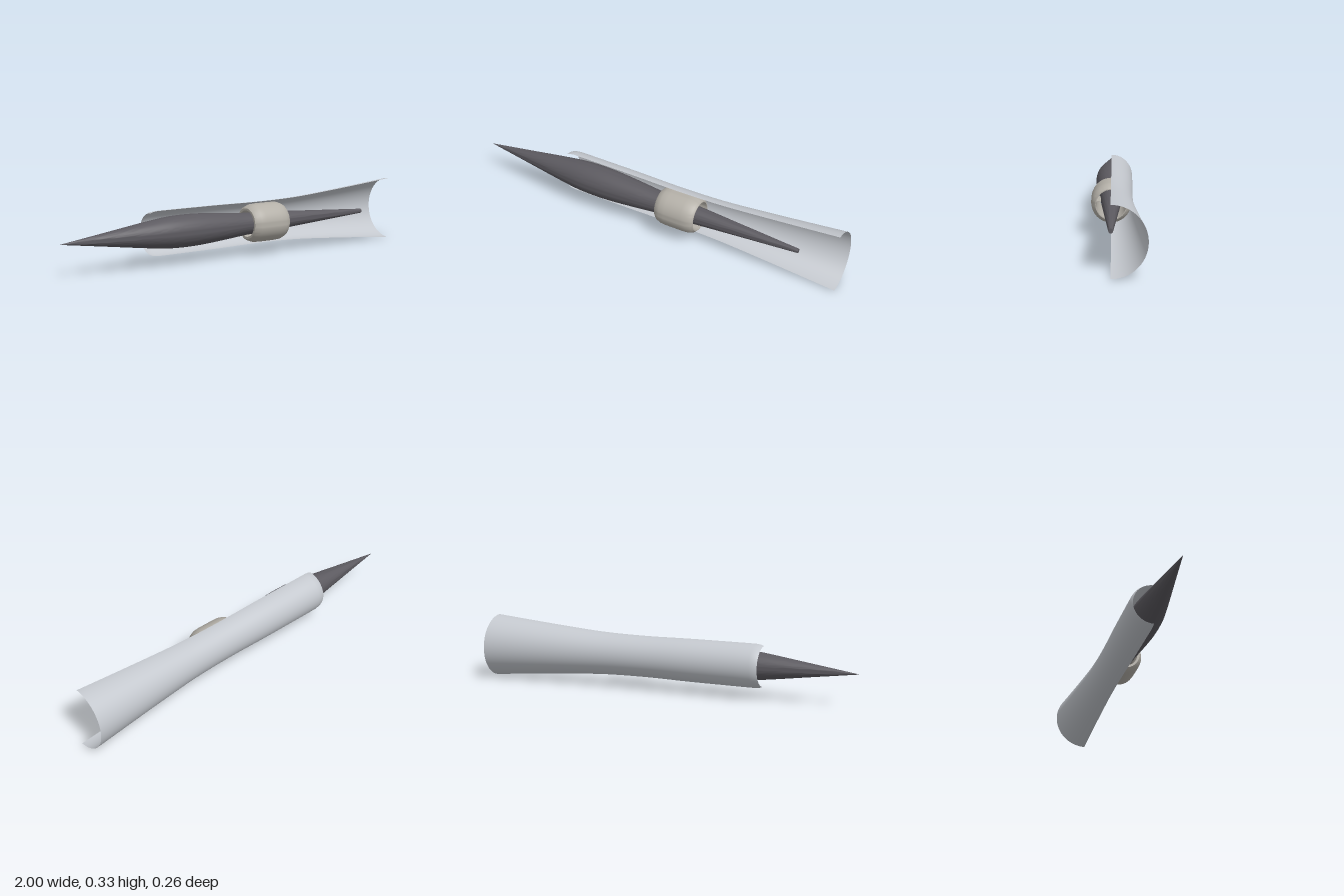
import * as THREE from 'three';
import { toCreasedNormals } from 'three/addons/utils/BufferGeometryUtils.js';

const mat = (color, side = THREE.FrontSide) => new THREE.MeshStandardMaterial({ color, side });

// Smooth curve through [x, radius] stations, as lathe points
const smooth = (stations, n) =>
  new THREE.CatmullRomCurve3(stations.map(([x, r]) => new THREE.Vector3(r, x, 0)))
    .getPoints(n).map((p) => new THREE.Vector2(Math.max(p.x, 0), p.y));

const straight = (stations) => stations.map(([x, r]) => new THREE.Vector2(r, x));

// Revolve a profile about the long x axis
function revolve(points, segments, start = 0, sweep = Math.PI * 2) {
  return new THREE.LatheGeometry(points, segments, start, sweep).rotateZ(-Math.PI / 2);
}

function add(parent, name, geometry, material) {
  const mesh = new THREE.Mesh(geometry, material);
  mesh.name = name;
  parent.add(mesh);
  return mesh;
}

export function createModel() {
  const model = new THREE.Group();
  model.name = 'plugNozzle';

  // Everything is coaxial with this line
  const axis = new THREE.Group();
  axis.name = 'coaxialAssembly';
  axis.position.set(0, 0.163, 0.032);
  model.add(axis);

  // Pointed centre body: cone, bulge, long tapering tail with a blunt end
  const spike = smooth([
    [-1, 0], [-0.76, 0.033], [-0.52, 0.066], [-0.42, 0.077], [-0.33, 0.08],
    [-0.24, 0.078], [-0.1, 0.068], [0.04, 0.056], [0.2, 0.049], [0.5, 0.03], [0.8, 0.011],
  ], 60);
  spike.push(new THREE.Vector2(0, 0.8));
  add(axis, 'centreSpike', toCreasedNormals(revolve(spike, 64), 0.6), mat(0x5c5a60));

  // Half shell behind the spike: turned-in lip, slim throat, flared outlet
  const shell = [
    ...straight([[-0.515, 0.101], [-0.5, 0.107], [-0.475, 0.11]]),
    ...smooth([
      [-0.4, 0.11], [-0.12, 0.109], [0.1, 0.106], [0.28, 0.108], [0.4, 0.113],
      [0.6, 0.128], [0.8, 0.145], [1, 0.163],
    ], 36),
  ];
  add(axis, 'halfShell', revolve(shell, 48, Math.PI / 2, Math.PI), mat(0xc4c8ce, THREE.DoubleSide));

  // Collar ring with rounded shoulders and a slightly tapered bore
  const collar = straight([
    [0.047, 0.067], [0.047, 0.078], [0.058, 0.088], [0.08, 0.096], [0.11, 0.098],
    [0.2, 0.098], [0.232, 0.096], [0.255, 0.087], [0.265, 0.077], [0.265, 0.073], [0.047, 0.067],
  ]);
  add(axis, 'collarRing', toCreasedNormals(revolve(collar, 64), 0.5), mat(0xb4b0a8));

  // Four thin struts holding the collar on the spike
  const struts = new THREE.Group();
  struts.name = 'struts';
  axis.add(struts);
  for (let i = 0; i < 4; i++) {
    const arm = new THREE.Group();
    arm.rotation.x = i * Math.PI / 2 - 0.05;
    struts.add(arm);
    add(arm, 'strut', new THREE.BoxGeometry(0.12, 0.024, 0.004), mat(0xb4b0a8))
      .position.set(0.15, 0.061, 0);
  }
  return model;
}
